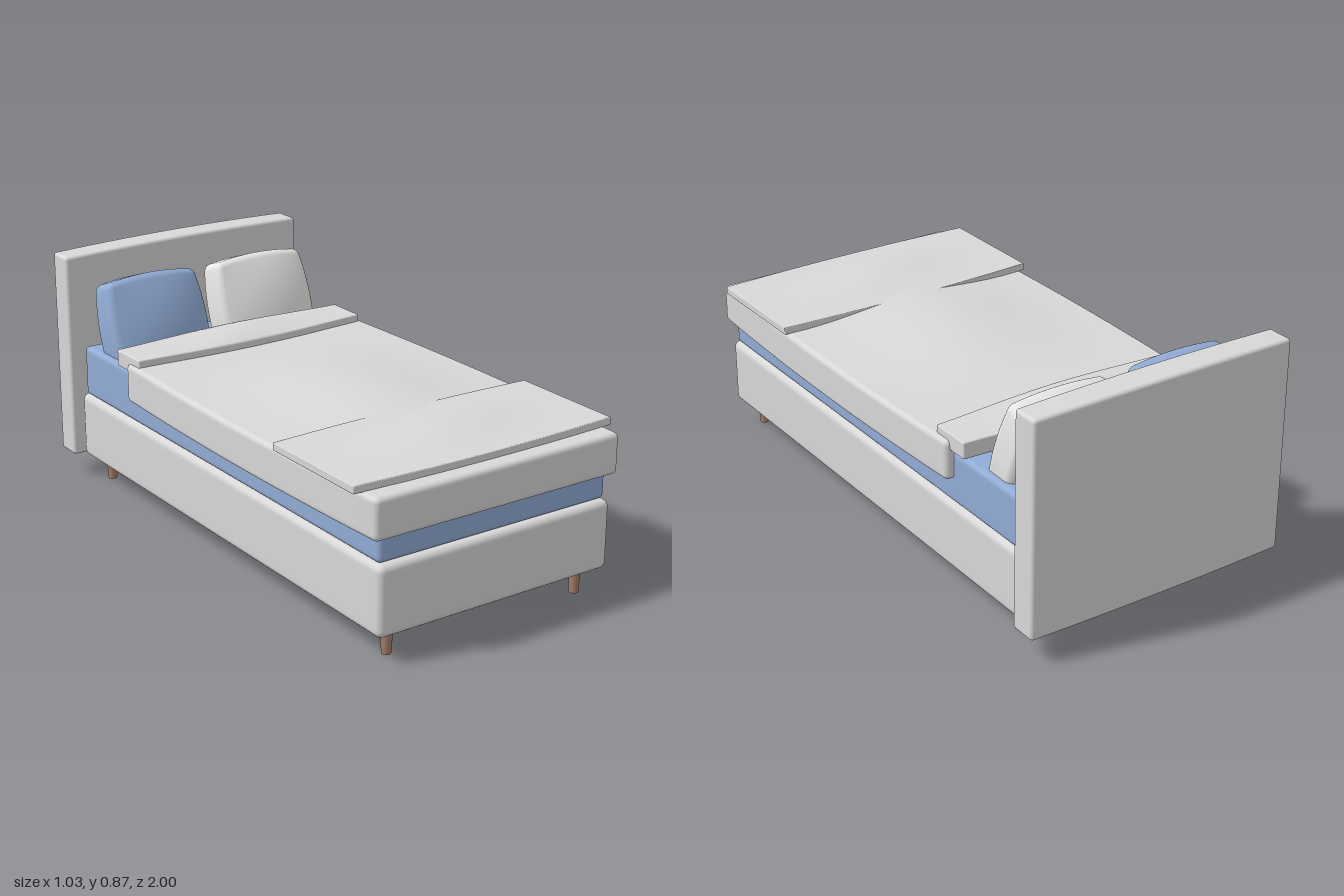
import * as THREE from 'three';
import { mergeVertices } from 'three/addons/utils/BufferGeometryUtils.js';

const SEG = 20, FLAT = 0.7; // grid per face, share of it lying on the flat area

// Soft bump: 1 in the middle, 0 at the edges
const hump = (t, k = 1) => Math.pow(Math.max(0, 1 - t * t), k);

// Rounded box spanning min..max; warp(p, u) shifts points, u being -1..1 inside the box
function softBox(min, max, r, warp) {
  const geo = new THREE.BoxGeometry(2, 2, 2, SEG, SEG, SEG);
  geo.deleteAttribute('uv');
  geo.deleteAttribute('normal');
  const half = max.map((m, i) => (m - min[i]) / 2);
  const pos = geo.attributes.position;
  const inner = new THREE.Vector3(), dir = new THREE.Vector3(), u = new THREE.Vector3();
  for (let i = 0; i < pos.count; i++) {
    for (let a = 0; a < 3; a++) {
      const t = pos.getComponent(i, a), s = Math.sign(t), m = Math.abs(t);
      const flat = half[a] - r;
      inner.setComponent(a, s * flat * Math.min(1, m / FLAT));
      const arc = Math.max(0, (m - FLAT) / (1 - FLAT));
      dir.setComponent(a, s * Math.tan(arc * Math.PI / 4));
    }
    const p = dir.normalize().multiplyScalar(r).add(inner);
    u.set(p.x / half[0], p.y / half[1], p.z / half[2]);
    if (warp) warp(p, u);
    pos.setXYZ(i, p.x, p.y, p.z);
  }
  const out = mergeVertices(geo, 1e-5);
  out.computeVertexNormals();
  out.translate(...min.map((m, i) => (m + max[i]) / 2));
  return out;
}

export function createModel() {
  const group = new THREE.Group();
  const mat = (name, color) => {
    const m = new THREE.MeshStandardMaterial({ color });
    m.name = name;
    return m;
  };
  const grey = mat('greyFabric', 0xd8d8d8);
  const white = mat('whiteFabric', 0xebebe9);
  const blue = mat('blueFabric', 0x92acd6);
  const wood = mat('wood', 0xa97f68);

  const add = (name, geo, material) => {
    const mesh = new THREE.Mesh(geo, material);
    mesh.name = name;
    group.add(mesh);
    return mesh;
  };

  // Headboard, slightly padded
  add('headboard', softBox([-0.5, 0.09, -0.99], [0.5, 0.857, -0.89], 0.012, (p, u) => {
    p.y += 0.008 * Math.max(0, u.y) * hump(u.x);
    p.z += 0.008 * u.z * hump(u.x) * (u.z < 0 ? 1 : 0);
  }), grey);

  // Upholstered base with a gentle sag underneath
  add('base', softBox([-0.465, 0.09, -0.88], [0.465, 0.335, 0.995], 0.024, (p, u) => {
    if (u.y < 0) p.y += 0.014 * u.y * hump(u.x, 2) * hump(u.z, 2);
  }), grey);

  // Mattress
  add('mattress', softBox([-0.455, 0.335, -0.862], [0.455, 0.522, 0.975], 0.018), blue);

  // Duvet, wider in the middle and puffed on top
  add('duvet', softBox([-0.485, 0.422, -0.497], [0.485, 0.565, 1.0], 0.018, (p, u) => {
    p.x += 0.02 * u.x * hump(u.z);
    if (u.y > 0) p.y += 0.04 * u.y * hump(u.x, 3) * hump(u.z, 3);
  }), grey);

  // Turned-down edge of the duvet
  add('duvetFold', softBox([-0.475, 0.532, -0.575], [0.47, 0.592, -0.42], 0.005, (p, u) => {
    p.z += 0.027 * u.z * hump(u.x, 1.5);
    if (u.y > 0) p.y += 0.023 * u.y * hump(u.x, 5) * hump(u.z);
  }), grey);

  // Folded throw across the foot end
  add('throwBlanket', softBox([-0.515, 0.563, 0.49], [0.512, 0.59, 0.925], 0.003, (p, u) => {
    p.z += 0.016 * u.z * hump(u.x);
    if (u.y > 0) p.y += 0.023 * u.y * hump(u.x, 4) * hump(u.z, 3);
  }), grey);

  // Plump pillows leaning on the headboard
  const pillowGeo = softBox([-0.182, -0.19, -0.06], [0.182, 0.19, 0.06], 0.022, (p, u) => {
    p.x += 0.02 * u.x * hump(u.y);
    p.y += 0.016 * u.y * hump(u.x);
    p.z += 0.034 * u.z * hump(u.x) * hump(u.y);
  });
  for (const [name, x, material] of [['rightPillow', -0.232, blue], ['leftPillow', 0.232, white]]) {
    const pillow = add(name, pillowGeo, material);
    pillow.position.set(x, 0.585, -0.728);
    pillow.rotation.x = -0.33;
  }

  // Tapered legs
  const legGeo = new THREE.CylinderGeometry(0.022, 0.016, 0.1, 20);
  for (const x of [-0.385, 0.385]) {
    for (const z of [0.925, -0.81]) {
      add(z > 0 ? 'frontLeg' : 'backLeg', legGeo, wood).position.set(x, 0.05, z);
    }
  }
  return group;
}
